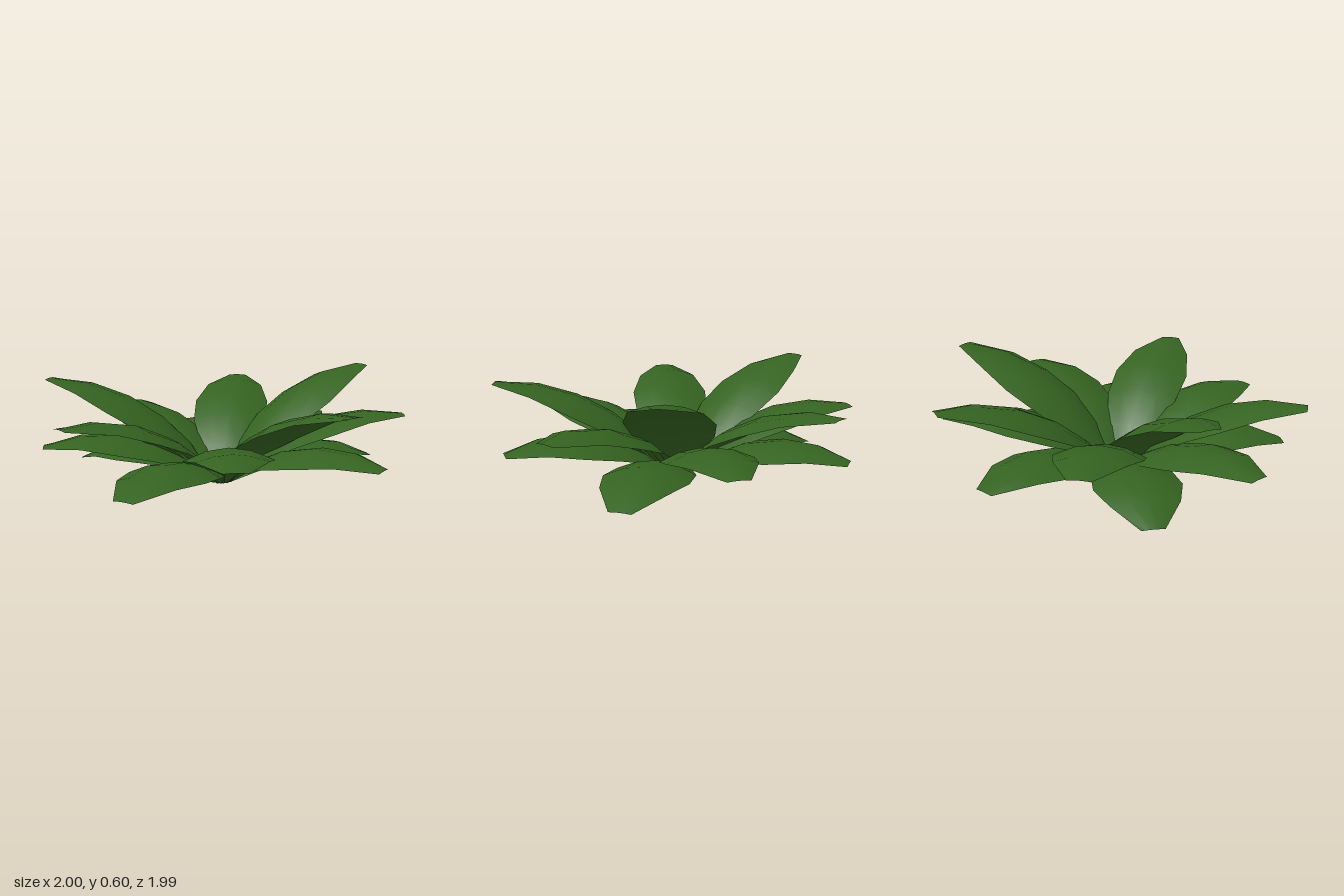
import * as THREE from 'three';

const LEAVES = 15;
const ACROSS = 4;
const HALF_WIDTHS = [0.03, 0.14, 0.212, 0.225, 0.172, 0.056];
const rad = THREE.MathUtils.degToRad;

// One arched leaf growing along +x: a drooping midline with the edges bent down
function leafGeometry(pitch, bend, step) {
  const positions = [];
  const indices = [];
  const last = HALF_WIDTHS.length - 1;
  const slope = (k) => pitch + bend * ((last - 1) / 2 - k);
  let r = 0.05;
  let y = 0.002;
  HALF_WIDTHS.forEach((w, i) => {
    const tilt = slope(THREE.MathUtils.clamp(i - 0.5, 0, last - 1));
    for (let j = 0; j <= ACROSS; j++) {
      const z = w * (2 * j / ACROSS - 1);
      const drop = 1.25 * z * z;
      positions.push(r + drop * Math.sin(tilt), y - drop * Math.cos(tilt), z);
      if (i < last && j < ACROSS) {
        const a = i * (ACROSS + 1) + j;
        const b = a + ACROSS + 1;
        indices.push(a, a + 1, b, b, a + 1, b + 1);
      }
    }
    r += step * Math.cos(slope(i));
    y += step * Math.sin(slope(i));
  });
  const geometry = new THREE.BufferGeometry();
  geometry.setAttribute('position', new THREE.Float32BufferAttribute(positions, 3));
  geometry.setIndex(indices);
  geometry.computeVertexNormals();
  return geometry;
}

export function createModel() {
  const model = new THREE.Group();
  model.name = 'leafRosette';
  const green = new THREE.MeshStandardMaterial({ color: 0x356321, side: THREE.DoubleSide });
  green.name = 'leafGreen';

  // Leaves spiral by the golden angle, each lower and shorter than the one before
  for (let n = 0; n < LEAVES; n++) {
    const geometry = leafGeometry(rad(32.2 - 2 * n), rad(12 + 0.23 * n), 0.2357 - 0.0038 * n);
    const leaf = new THREE.Mesh(geometry, green);
    leaf.name = `leaf${n + 1}`;
    leaf.rotation.y = rad(137.5 * n);
    leaf.position.z = -0.018;
    model.add(leaf);
  }
  return model;
}
